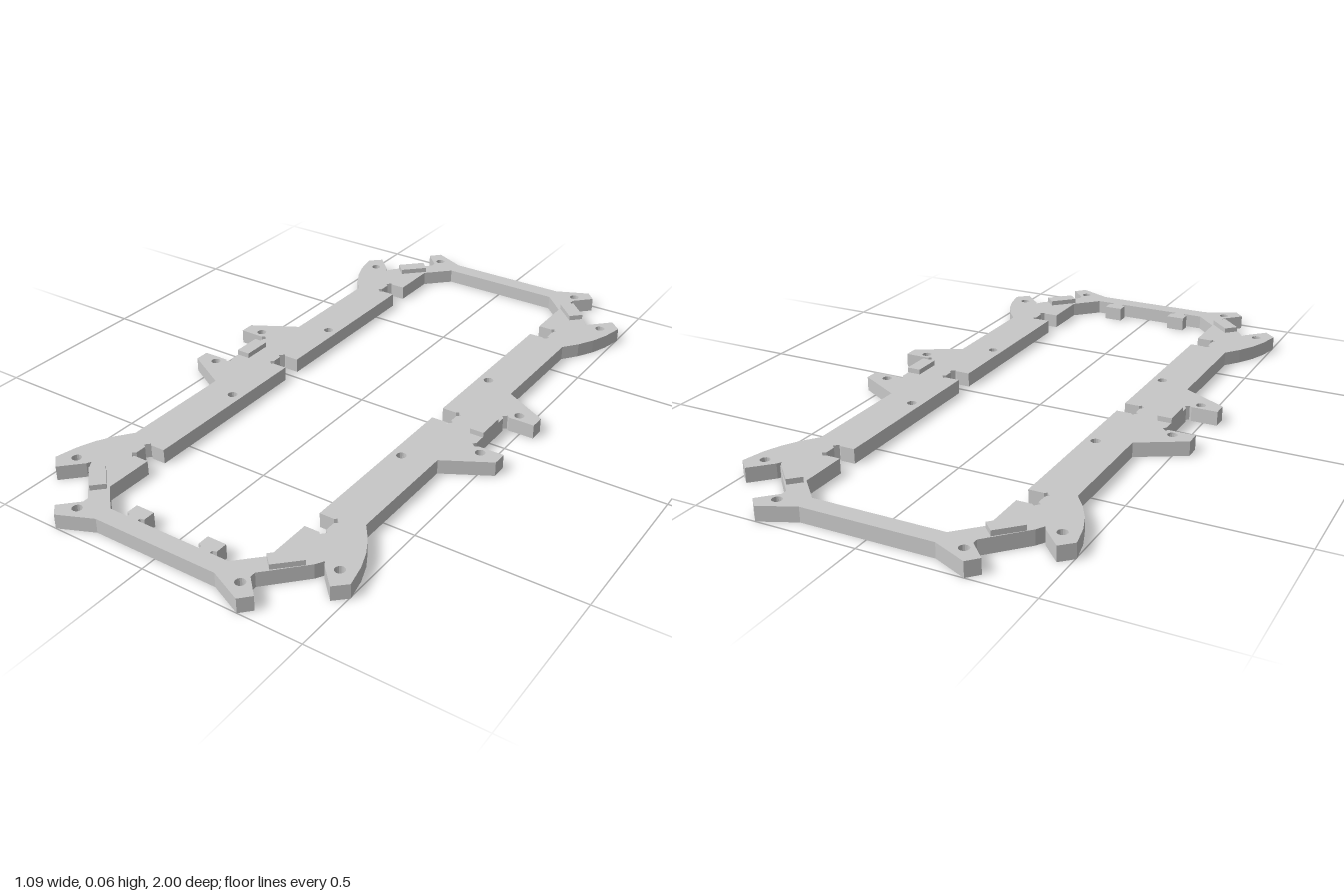
import * as THREE from 'three';

const H = 0.045; // plate thickness

// Mirrors a quarter contour [x, z] (z from back to middle) into a closed loop
function fullLoop(quarter) {
  const half = [...quarter, ...[...quarter].reverse().map(([x, z]) => [x, -z])];
  return [...half, ...[...half].reverse().map(([x, z]) => [-x, z])];
}

const toPoints = (loop) => loop.map(([x, z]) => new THREE.Vector2(x, -z));

// Extrudes a flat shape upward from the ground
function slab(name, shape, height, material) {
  const geo = new THREE.ExtrudeGeometry(shape, { depth: height, bevelEnabled: false, curveSegments: 8 });
  geo.rotateX(-Math.PI / 2);
  const mesh = new THREE.Mesh(geo, material);
  mesh.name = name;
  return mesh;
}

export function createModel() {
  const group = new THREE.Group();
  group.name = 'mountingFrame';
  const grey = new THREE.MeshStandardMaterial({ color: 0xc8c8c8 });
  grey.name = 'grey';

  // Outer edge: end arm, diagonal, curved wing, rail, side bracket
  const outer = [
    [0.2, -0.953], [0.305, -1], [0.335, -0.968], [0.283, -0.915], [0.283, -0.897],
    [0.385, -0.79], [0.4, -0.765], [0.407, -0.778], [0.466, -0.838], [0.503, -0.803],
    [0.488, -0.735], [0.467, -0.68], [0.438, -0.63], [0.402, -0.583],
    [0.402, -0.22], [0.544, -0.14], [0.544, -0.094], [0.462, -0.094], [0.454, -0.101],
    [0.442, -0.091], [0.45, -0.08], [0.45, -0.05],
  ];
  // Relieved corner of an inner notch, at edge z and pointing inward by s
  const corner = (z, s) => [[0.272, z], [0.318, z], [0.325, z - s * 0.006], [0.338, z + s * 0.008], [0.328, z + s * 0.016]];
  // Inner edge with square notches for clips
  const inner = [
    [0.2, -0.898], [0.272, -0.825],
    ...corner(-0.675, 1), ...corner(-0.608, -1).reverse(), ...corner(-0.031, 1),
  ];

  // Outer loop runs counter-clockwise, every opening clockwise
  const plate = new THREE.Shape(toPoints(fullLoop(outer)).reverse());
  // The inner opening is interrupted by two necked tabs on the front bar
  const opening = fullLoop(inner);
  const tab = (c) => [
    [c + 0.018, 0.898], [c + 0.018, 0.888], [c + 0.03, 0.885], [c + 0.03, 0.848],
    [c - 0.03, 0.848], [c - 0.03, 0.885], [c - 0.018, 0.888], [c - 0.018, 0.898],
  ];
  opening.splice(inner.length * 2, 0, ...tab(0.122), ...tab(-0.122));
  plate.holes.push(new THREE.Path(toPoints(opening)));

  // Screw holes
  for (const [x, z] of [[0.275, 0.945], [0.45, 0.772], [0.305, 0.256], [0.483, 0.12]]) {
    for (const sx of [-1, 1]) for (const sz of [-1, 1]) {
      const hole = new THREE.Path();
      hole.absarc(sx * x, sz * z, 0.015, 0, Math.PI * 2, true);
      plate.holes.push(hole);
    }
  }
  group.add(slab('framePlate', plate, H, grey));

  // Raised pads on the diagonals and beside the middle of each rail
  for (const sx of [-1, 1]) {
    for (const sz of [-1, 1]) {
      const pad = new THREE.Mesh(new THREE.BoxGeometry(0.092, 0.016, 0.046), grey);
      pad.position.set(sx * 0.321, H + 0.008, sz * 0.82);
      pad.rotation.y = sx * sz * Math.PI / 4;
      pad.name = 'cornerPad';
      group.add(pad);
    }
    const sidePad = new THREE.Mesh(new THREE.BoxGeometry(0.044, 0.016, 0.092), grey);
    sidePad.position.set(sx * 0.43, H + 0.008, 0);
    sidePad.name = 'sidePad';
    group.add(sidePad);
  }
  return group;
}
